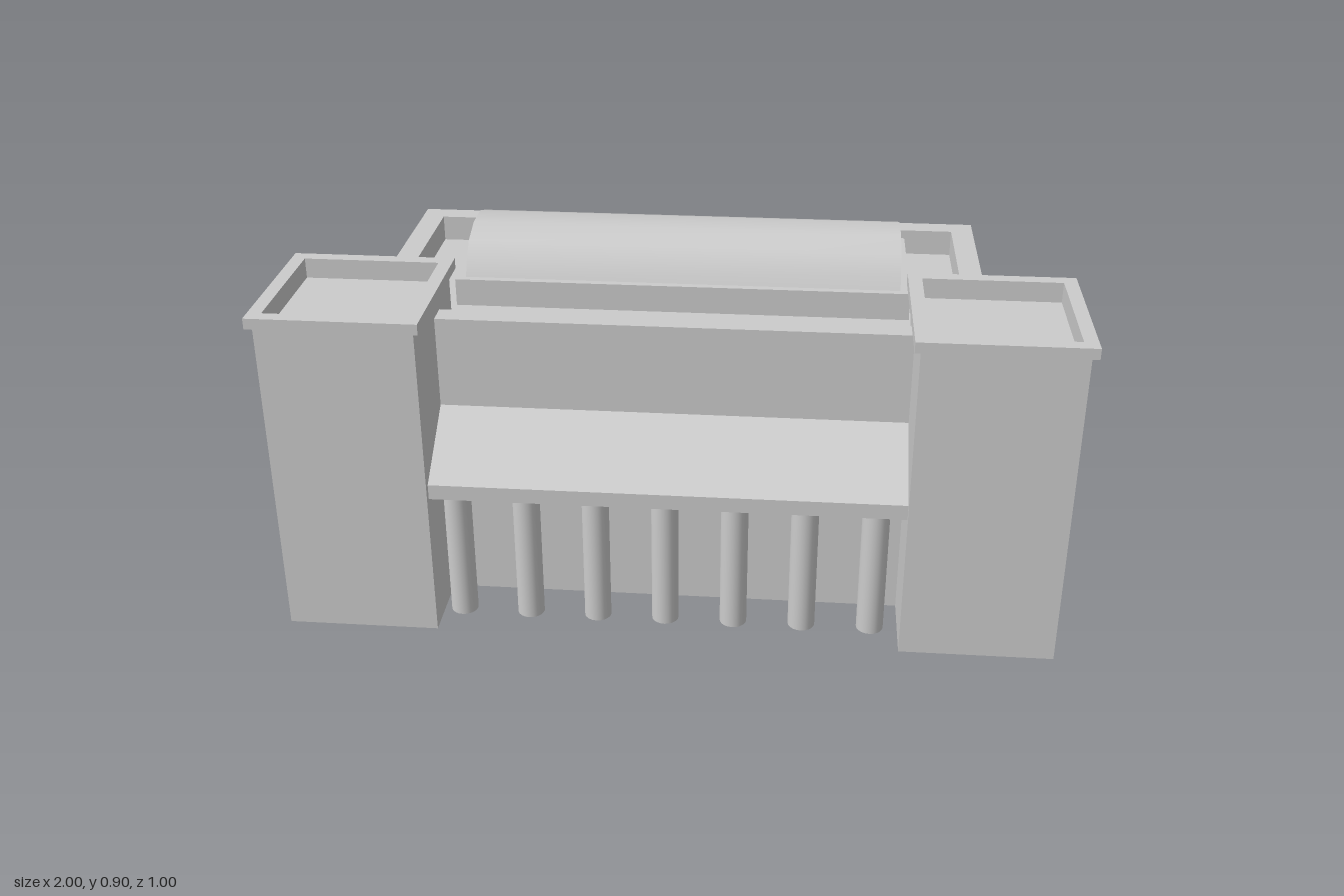
import * as THREE from 'three';
import { toCreasedNormals } from 'three/addons/utils/BufferGeometryUtils.js';

const material = new THREE.MeshStandardMaterial({ color: 0xcccccc, side: THREE.DoubleSide });

function part(name, geometry, parent, x = 0, y = 0, z = 0) {
  const mesh = new THREE.Mesh(geometry, material);
  mesh.name = name;
  mesh.position.set(x, y, z);
  parent.add(mesh);
  return mesh;
}

// Flat-faced sheet joining successive rows of [x, y, z] points
function loft(rows) {
  const pos = [];
  for (let r = 0; r + 1 < rows.length; r++) {
    const a = rows[r], b = rows[r + 1];
    for (let i = 0; i + 1 < a.length; i++) {
      pos.push(...a[i], ...a[i + 1], ...b[i + 1], ...a[i], ...b[i + 1], ...b[i]);
    }
  }
  const g = new THREE.BufferGeometry();
  g.setAttribute('position', new THREE.Float32BufferAttribute(pos, 3));
  g.computeVertexNormals();
  return g;
}

// Closed square ring of half-width h at height y
const square = (h, y) => [[-h, y, h], [h, y, h], [h, y, -h], [-h, y, -h], [-h, y, h]];

// Three-sided run: right side, back, left side
const threeSides = (x, back, y) => [[x, y, 0.095], [x, y, back], [-x, y, back], [-x, y, 0.095]];

export function createModel() {
  const model = new THREE.Group();
  model.name = 'building';
  const wallTop = 0.79, roofY = 0.72, frontX = 0.595;

  // Side and back walls with parapet, open underneath
  part('hallWalls', loft([
    threeSides(0.79, -0.5, 0),
    threeSides(0.79, -0.5, wallTop),
    threeSides(0.73, -0.44, wallTop),
    threeSides(0.73, -0.44, roofY),
  ]), model);

  // Front wall, hollow sloping canopy and front parapet as one section [z, y]
  const section = [[0.28, 0], [0.28, 0.38], [0.468, 0.38], [0.468, 0.42], [0.28, 0.55],
    [0.28, wallTop], [0.22, wallTop], [0.22, roofY]];
  part('frontWallAndCanopy', loft(section.map(([z, y]) => [[-frontX, y, z], [frontX, y, z]])), model);

  // Flat roof inside the parapet
  const roof = new THREE.Shape([[-0.73, 0.44], [-0.73, -0.095], [-frontX, -0.095], [-frontX, -0.22],
    [frontX, -0.22], [frontX, -0.095], [0.73, -0.095], [0.73, 0.44]].map(([x, y]) => new THREE.Vector2(x, y)));
  part('roof', new THREE.ShapeGeometry(roof).rotateX(-Math.PI / 2), model, 0, roofY, 0);

  // Corner towers with overhanging caps and sunken tops
  for (const side of [-1, 1]) {
    const tower = new THREE.Group();
    tower.name = side > 0 ? 'leftTower' : 'rightTower';
    tower.position.set(side * 0.79, 0, 0.29);
    part('towerWalls', loft([square(0.195, 0), square(0.195, 0.845)]), tower);
    part('towerCap', loft([square(0.195, 0.845), square(0.21, 0.845), square(0.21, 0.873),
      square(0.175, 0.873), square(0.175, 0.82)]), tower);
    part('towerRoof', new THREE.PlaneGeometry(0.35, 0.35).rotateX(-Math.PI / 2), tower, 0, 0.82, 0);
    model.add(tower);
  }

  // Row of columns under the canopy
  for (let i = 0; i < 7; i++) {
    part('column', new THREE.CylinderGeometry(0.035, 0.035, 0.38, 20, 1, true), model,
      -0.544 + i * 0.178, 0.19, 0.38);
  }

  // Barrel skylight on a low base
  part('skylightBase', new THREE.BoxGeometry(1.19, 0.073, 0.4), model, 0, 0.7565, -0.17);
  const half = [[0.178, 0], [0.158, 0.037], [0.118, 0.08], [0.045, 0.105]];
  const arch = [...half, ...half.slice().reverse().map(([u, v]) => [-u, v])];
  const barrel = new THREE.ExtrudeGeometry(new THREE.Shape(arch.map(([u, v]) => new THREE.Vector2(u, v))),
    { depth: 1.14, bevelEnabled: false });
  barrel.translate(0, 0, -0.57).rotateY(Math.PI / 2);
  part('skylightBarrel', toCreasedNormals(barrel, 0.7), model, 0, 0.793, -0.167);

  return model;
}
